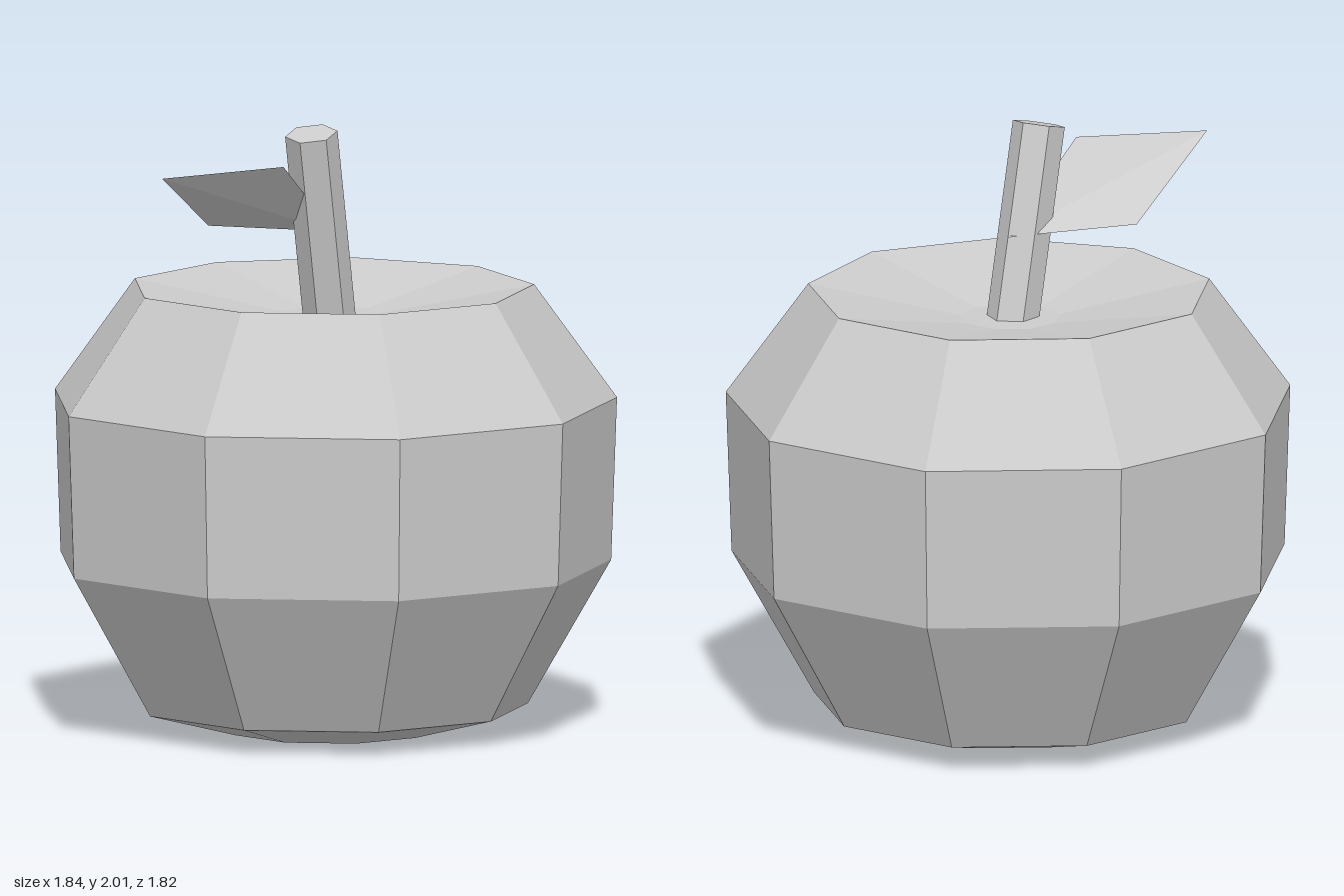
import * as THREE from 'three';

// Split faces so each one is shaded flat
function faceted(geometry) {
  const flat = geometry.index ? geometry.toNonIndexed() : geometry;
  flat.computeVertexNormals();
  return flat;
}

export function createModel() {
  const group = new THREE.Group();
  group.name = 'apple';

  const grey = new THREE.MeshStandardMaterial({ color: 0xcccccc, flatShading: true });
  grey.name = 'light grey';
  const leafGrey = grey.clone();
  leafGrey.name = 'light grey two sided';
  leafGrey.side = THREE.DoubleSide;

  function add(name, geometry, material = grey) {
    const mesh = new THREE.Mesh(faceted(geometry), material);
    mesh.name = name;
    group.add(mesh);
    return mesh;
  }

  // Nine-sided body with a shallow dimple on top, one corner pointing back
  const profile = [
    [0, 0], [0.34, 0], [0.645, 0.08], [0.917, 0.55], [0.936, 1.085],
    [0.665, 1.46], [0.165, 1.37], [0, 1.37],
  ].map(([r, y]) => new THREE.Vector2(r, y));
  const body = add('body', new THREE.LatheGeometry(profile, 9, Math.PI));
  body.position.z = 0.026;

  // Leaning six-sided stem
  const bottom = new THREE.Vector3(-0.005, 1.32, 0.032);
  const top = new THREE.Vector3(-0.14, 1.985, 0.12);
  const axis = top.clone().sub(bottom);
  const stem = add('stem', new THREE.CylinderGeometry(0.086, 0.086, axis.length(), 6));
  stem.position.copy(bottom).lerp(top, 0.5);
  stem.quaternion.setFromUnitVectors(new THREE.Vector3(0, 1, 0), axis.normalize());

  // Leaf: two triangles folded along the line from base to tip
  const leaf = new THREE.BufferGeometry();
  leaf.setAttribute('position', new THREE.Float32BufferAttribute([
    0.01, 1.64, 0.025, // base
    -0.39, 1.675, -0.11, // back corner
    -0.75, 1.89, 0.155, // tip
    -0.31, 1.90, 0.21, // front corner
  ], 3));
  leaf.setIndex([0, 1, 2, 0, 2, 3]);
  add('leaf', leaf, leafGrey);

  return group;
}
